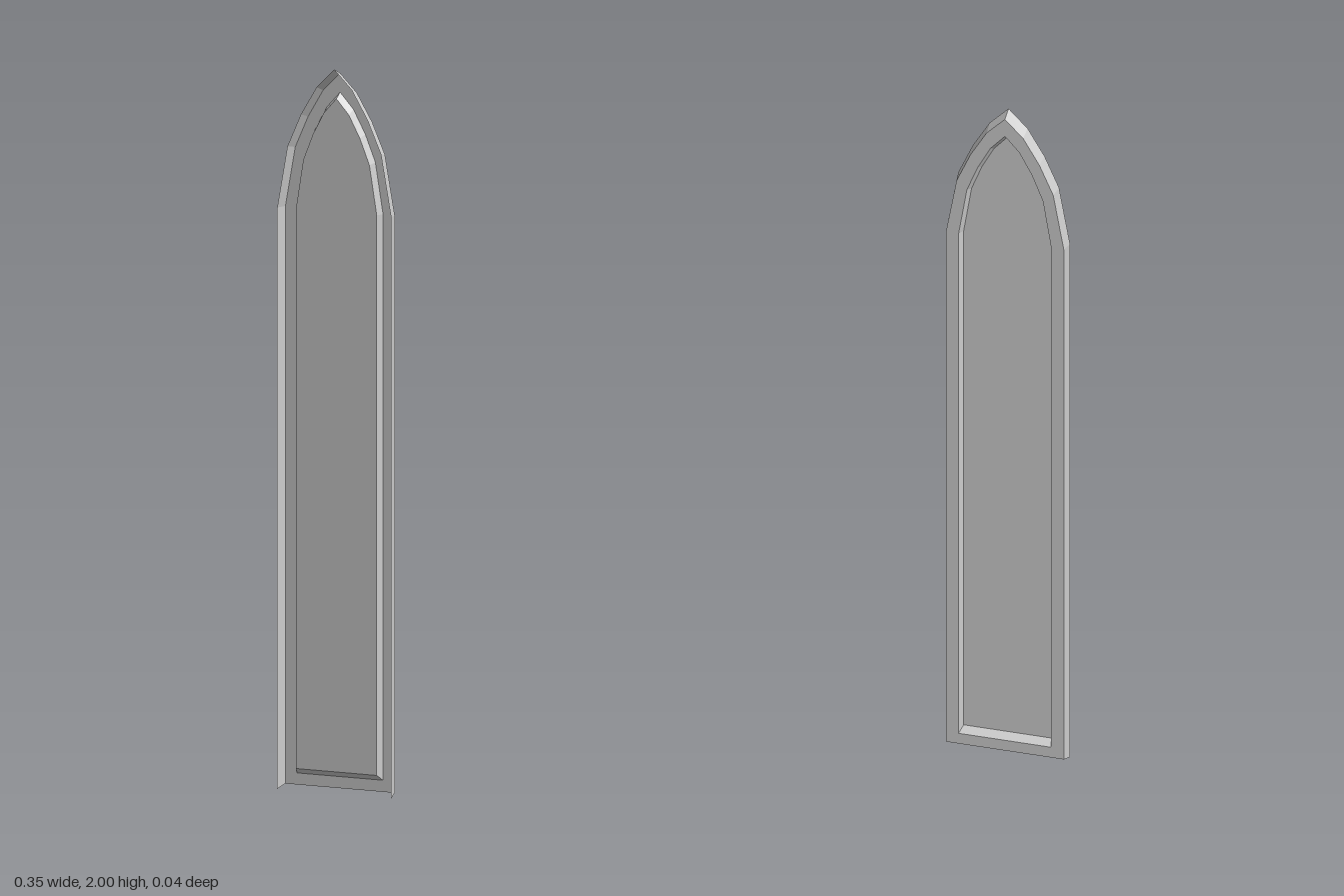
import * as THREE from 'three';

// Half of the pointed arch, as fractions of half-width and of rise above the spring line
const ARCH = [[1, 0], [0.82, 0.435], [0.585, 0.665], [0.31, 0.865], [0, 1]];
const SPRING = 1.605;

// Outline from bottom right, over the apex, to bottom left
function outline(halfWidth, bottom, apex) {
  const right = ARCH.map(([x, y]) => new THREE.Vector2(x * halfWidth, SPRING + y * (apex - SPRING)));
  const left = right.slice(0, -1).reverse().map((p) => new THREE.Vector2(-p.x, p.y));
  return [new THREE.Vector2(halfWidth, bottom), ...right, ...left, new THREE.Vector2(-halfWidth, bottom)];
}

// Flat-faced wall joining two outlines at different depths
function wall(a, za, b, zb, closed) {
  const pos = [];
  const count = closed ? a.length : a.length - 1;
  for (let i = 0; i < count; i++) {
    const j = (i + 1) % a.length;
    const p = [a[i].x, a[i].y, za], q = [a[j].x, a[j].y, za];
    const r = [b[j].x, b[j].y, zb], s = [b[i].x, b[i].y, zb];
    pos.push(...p, ...q, ...r, ...p, ...r, ...s);
  }
  const g = new THREE.BufferGeometry();
  g.setAttribute('position', new THREE.Float32BufferAttribute(pos, 3));
  g.computeVertexNormals();
  return g;
}

// Flat plate facing the back
function plate(points, z, hole) {
  const shape = new THREE.Shape(points);
  if (hole) shape.holes.push(new THREE.Path(hole));
  return new THREE.ShapeGeometry(shape).rotateY(Math.PI).translate(0, 0, z);
}

export function createModel() {
  const stone = new THREE.MeshStandardMaterial({ color: 0xcccccc, side: THREE.DoubleSide, flatShading: true });
  stone.name = 'light grey';
  const group = new THREE.Group();
  group.name = 'lancetWindow';
  const add = (name, geometry) => {
    const mesh = new THREE.Mesh(geometry, stone);
    mesh.name = name;
    group.add(mesh);
  };

  const FRONT = 0.017, BACK = -0.018, PANE = 0.004;
  const rim = outline(0.175, 0, 2);
  const edge = outline(0.168, 0.01, 1.985);
  const opening = outline(0.132, 0.042, 1.932);
  const pane = outline(0.124, 0.058, 1.917);

  // Flared outer skirt, open along the bottom
  add('outerSkirt', wall(rim, FRONT, edge, BACK, false));
  // Flat frame face
  add('frameFace', plate(edge, BACK, opening));
  // Sloping reveal and sill around the pane
  add('reveal', wall(pane, PANE, opening, BACK, true));
  // Pane
  add('pane', plate(pane, PANE));
  return group;
}
